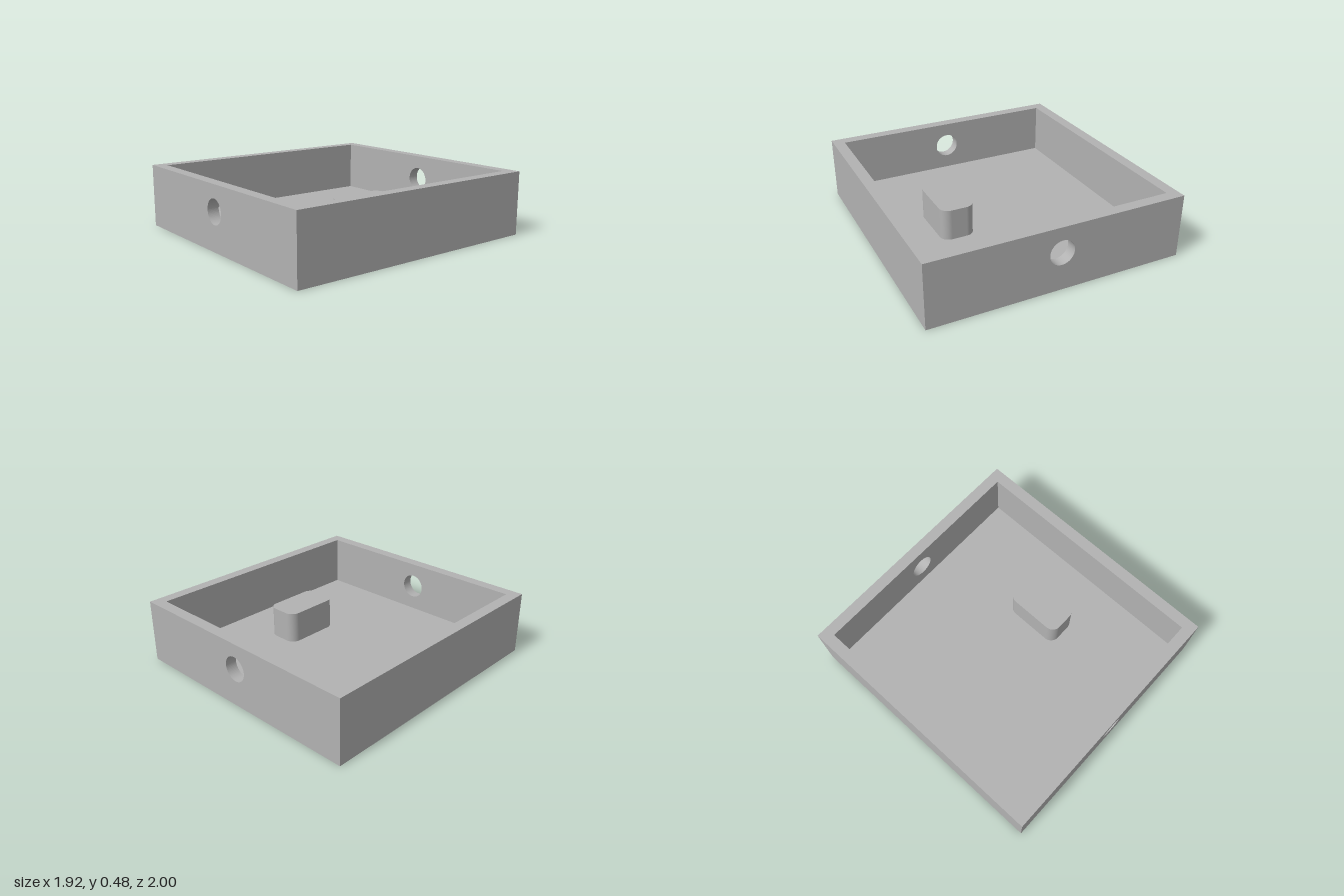
import * as THREE from 'three';

const W = 0.96, D = 1, H = 0.48;      // half width, half depth, height
const WALL = 0.085, FLOOR = 0.09;     // wall and floor thickness

function polygon(points) {
  return new THREE.Shape(points.map(([x, y]) => new THREE.Vector2(x, y)));
}

function extrude(shape, depth) {
  return new THREE.ExtrudeGeometry(shape, { depth, bevelEnabled: false, curveSegments: 32 });
}

// Rectangle with rounded corners, centred on the origin
function roundedRect(w, h, r) {
  const x = w / 2 - r, y = h / 2 - r;
  const s = new THREE.Shape();
  s.absarc(x, y, r, 0, Math.PI / 2);
  s.absarc(-x, y, r, Math.PI / 2, Math.PI);
  s.absarc(-x, -y, r, Math.PI, Math.PI * 1.5);
  s.absarc(x, -y, r, Math.PI * 1.5, Math.PI * 2);
  s.closePath();
  return s;
}

export function createModel() {
  const group = new THREE.Group();
  const grey = new THREE.MeshStandardMaterial({ color: 0xb2b2b2 });
  grey.name = 'grey';

  const add = (name, geometry, x, y, z) => {
    const mesh = new THREE.Mesh(geometry, grey);
    mesh.name = name;
    mesh.position.set(x, y, z);
    group.add(mesh);
    return mesh;
  };

  // Floor and both side walls as one U-shaped channel
  const i = W - WALL;
  const channel = polygon([[-W, 0], [W, 0], [W, H], [i, H], [i, FLOOR], [-i, FLOOR], [-i, H], [-W, H]]);
  add('floorAndSideWalls', extrude(channel, 2 * (D - WALL)), 0, 0, -(D - WALL));

  // Front and back walls, each with a round through hole
  const panel = polygon([[-W, 0], [W, 0], [W, H], [-W, H]]);
  panel.holes.push(new THREE.Path().absarc(0, 0.288, 0.093, 0, Math.PI * 2, true));
  const panelGeometry = extrude(panel, WALL);
  add('frontWall', panelGeometry, 0, 0, D - WALL);
  add('backWall', panelGeometry, 0, 0, -D);

  // Rounded block standing on the floor
  const block = add('roundedBlock', extrude(roundedRect(0.255, 0.45, 0.07), 0.235), 0.388, FLOOR, -0.005);
  block.rotation.x = -Math.PI / 2;

  return group;
}
